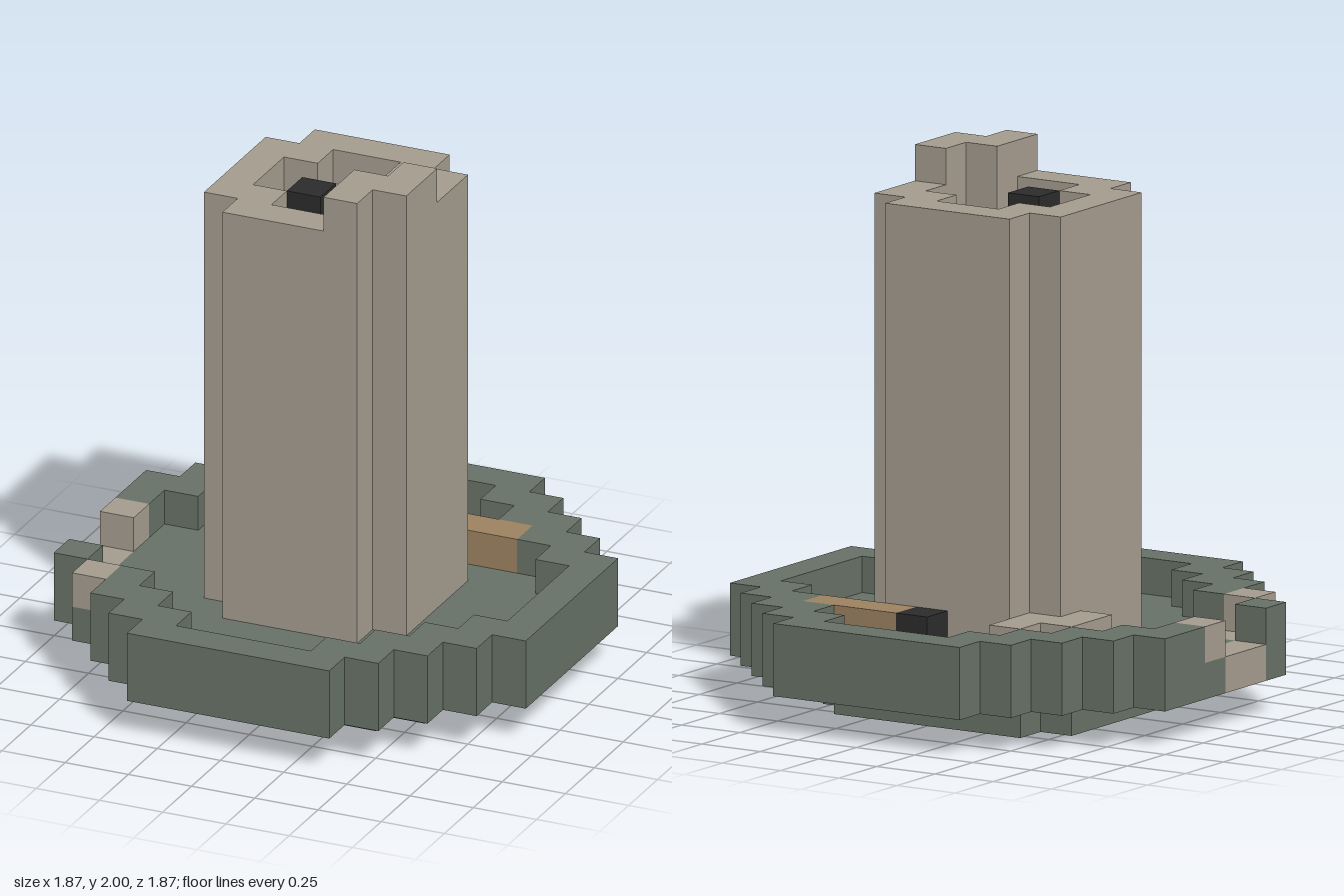
import * as THREE from 'three';

const U = 2 / 15; // one block

const mat = (name, color) => {
  const m = new THREE.MeshStandardMaterial({ color });
  m.name = name;
  return m;
};

// Stepped round outline: half size a, straight sides of half width k.
// Runs from the (-x,-z) corner through (+x,-z), (+x,+z) to (-x,+z).
function plan(a, k) {
  const q = [[a, k]];
  for (let i = 1; i <= a - k; i++) q.push([a - i, k + i - 1], [a - i, k + i]);
  const back = [...q].reverse();
  const flip = (pts, sx, sz) => pts.map(([x, z]) => [x * sx, z * sz]);
  return [...flip(q, -1, -1), ...flip(back, 1, -1), ...q, ...flip(back, -1, 1)];
}

const toVectors = (pts) => pts.map(([x, z]) => new THREE.Vector2(x * U, z * U));

export function createModel() {
  const model = new THREE.Group();
  model.name = 'tower';

  const green = mat('mossy green', 0x667066);
  const stone = mat('pale stone', 0xa49b8e);
  const wood = mat('wood', 0x9b8160);
  const coal = mat('coal black', 0x2b2b2b);

  // Upright prism from a plan outline in blocks, between heights y0 and y1
  function slab(name, material, pts, y0, y1, holes = []) {
    const shape = new THREE.Shape(toVectors(pts));
    for (const h of holes) shape.holes.push(new THREE.Path(toVectors(h)));
    const geo = new THREE.ExtrudeGeometry(shape, { depth: (y1 - y0) * U, bevelEnabled: false });
    geo.rotateX(Math.PI / 2).translate(0, y1 * U, 0);
    const mesh = new THREE.Mesh(geo, material);
    mesh.name = name;
    model.add(mesh);
  }

  // Box from its lowest corner and its size, in blocks
  function block(name, material, x, y, z, w = 1, h = 1, d = 1) {
    const mesh = new THREE.Mesh(new THREE.BoxGeometry(w * U, h * U, d * U), material);
    mesh.position.set((x + w / 2) * U, (y + h / 2) * U, (z + d / 2) * U);
    mesh.name = name;
    model.add(mesh);
  }

  const outer = plan(7, 3);
  const inner = plan(6, 2);

  // Foot and platform floor, with sockets for the stone patches
  slab('foot', green, plan(4, 3), 0, 1);
  slab('platformFloor', green, [[-7, 0], ...outer, [-7, 2], [-6, 2], [-6, 0]], 1, 2,
    [[[-6, 2], [-5, 2], [-5, 3], [-6, 3]]]);
  block('floorPatchLong', stone, -7, 1, 0, 1, 1, 2);
  block('floorPatchSmall', stone, -6, 1, 2);

  // Raised rim, broken open on one side
  slab('rim', green,
    [[-7, -1], ...outer.slice(0, 33), ...inner.slice(0, 34).reverse(), [-6, -1]], 2, 3);
  block('rimRemnant', green, -7, 2, 2);
  block('rimStoneBack', stone, -7, 2, -1);
  block('rimStoneFront', stone, -6, 2, 3);

  // Column with a hollow top and a broken crown
  slab('columnShaft', stone, plan(3, 2), 2, 13);
  slab('columnTop', stone, plan(3, 2), 13, 14, [plan(2, 1)]);
  slab('columnCrown', stone,
    [[3, 0], [3, 2], [2, 2], [2, 3], [1, 3], [1, 1], [2, 1], [2, 0]], 14, 15);
  block('columnCoal', coal, -1, 13, 0);

  // Rubble and a charred beam lying on the floor
  slab('rubble', stone,
    [[-4, -3], [-3, -3], [-3, -4], [-2, -4], [-2, -2], [-3, -2], [-3, -1], [-4, -1]], 2, 3);
  block('beam', wood, 1, 2, -4, 3, 1, 1);
  block('beamCharredEnd', coal, 0, 2, -4);

  return model;
}
